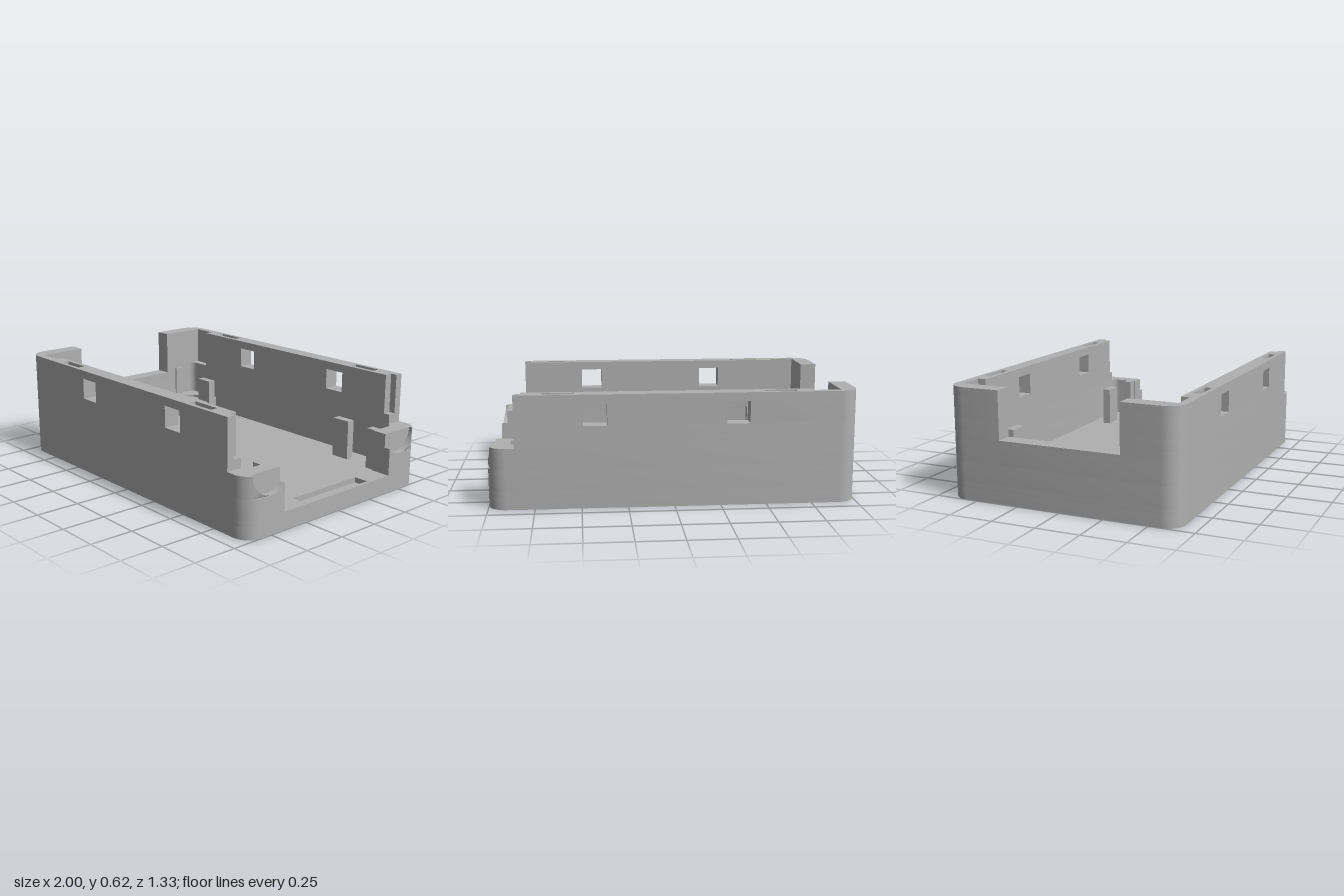
import * as THREE from 'three';
import { toCreasedNormals } from 'three/addons/utils/BufferGeometryUtils.js';

const R = 0.1, OZ = 0.667, IZ = 0.575, BACK = -0.905, FRONT = 0.88, END = 0.853;

// Points on an arc in the x/z plane, angles in degrees
function arc(cx, cz, r, a0, a1, n = 8) {
  return Array.from({ length: n + 1 }, (_, i) => {
    const a = THREE.MathUtils.degToRad(a0 + (a1 - a0) * i / n);
    return [cx + r * Math.cos(a), cz + r * Math.sin(a)];
  });
}
const rect = (x0, x1, z0, z1) => [[x0, z0], [x1, z0], [x1, z1], [x0, z1]];
const flip = pts => pts.map(([x, z]) => [x, -z]);
const hexagon = (x, z) => arc(x, z, 0.135, 30, 330, 5);
const circle = (x, z, r) => arc(x, z, r, 0, 352.5, 47);

// Outer edge x of the rounded end at a given z
function outerX(z) {
  const d = Math.max(0, z - (OZ - R));
  return 1 - R + Math.sqrt(R * R - d * d);
}

export function createModel() {
  const group = new THREE.Group();
  const grey = new THREE.MeshStandardMaterial({ color: 0xb0b0b0 });
  grey.name = 'grey plastic';

  function add(name, geometry) {
    const mesh = new THREE.Mesh(toCreasedNormals(geometry, 0.5), grey);
    mesh.name = name;
    group.add(mesh);
  }
  // Extrude an x/z outline, with holes, from y0 up to y1
  function slab(name, y0, y1, pts, holes = []) {
    const vec = p => p.map(([x, z]) => new THREE.Vector2(x, -z));
    const shape = new THREE.Shape(vec(pts));
    shape.holes = holes.map(h => new THREE.Path(vec(h)));
    const g = new THREE.ExtrudeGeometry(shape, { depth: y1 - y0, bevelEnabled: false });
    add(name, g.rotateX(-Math.PI / 2).translate(0, y0, 0));
  }

  const backCorner = arc(-1 + R, OZ - R, R, 180, 90);
  const frontCorner = a => arc(1 - R, OZ - R, R, 90, a);
  const innerBack = arc(BACK + 0.04, IZ - 0.04, 0.04, 90, 180, 5);
  const innerFront = arc(FRONT - 0.04, IZ - 0.04, 0.04, 0, 90, 5);
  const symmetric = half => [...half, ...flip(half).reverse()];

  // Floor with nut pockets and a shallow slot by the open end
  const A = [-0.77, -0.44], B = [0.70, 0.43];
  const half = [...backCorner, ...frontCorner(0)];
  const pockets = [hexagon(...A), hexagon(...B)];
  slab('floorBottom', 0, 0.07, symmetric(half), pockets);
  slab('floorTop', 0.07, 0.1, symmetric(half), [...pockets, rect(0.895, 0.98, -0.25, 0.24)]);

  // Lower walls: a tray open at the +x end, with a small tab beside the opening.
  // The half outline runs along the outside, then back along the inside.
  const inside = [
    [FRONT, 0.41], [FRONT, 0.42], [0.825, 0.42], [0.825, 0.467], [FRONT, 0.467],
    ...innerFront, ...innerBack,
  ];
  const ring = outer => {
    const h = [...outer, ...inside];
    return [...h.slice(0, outer.length), ...inside, ...flip(inside).reverse(), ...flip(outer).reverse()];
  };
  const recessAngle = THREE.MathUtils.radToDeg(Math.asin((0.62 - OZ + R) / R));
  const plain = [...backCorner, ...frontCorner(0), [1, 0.41]];
  const recessed = [...backCorner, ...frontCorner(recessAngle), [0.964, 0.62], [0.964, 0.41]];
  slab('lowerWall', 0.1, 0.215, ring(plain));
  slab('lowerWallRecessed', 0.215, 0.335, ring(recessed));

  // Curved fill below each round thumb recess, following the rounded corner
  for (const s of [1, -1]) {
    const pts = [new THREE.Vector2(s * 0.62, 0.215), new THREE.Vector2(s * 0.41, 0.215)];
    for (let i = 0; i <= 24; i++) {
      const z = 0.41 + 0.21 * Math.sin(i / 24 * Math.PI / 2);
      const y = 0.335 - Math.sqrt(Math.max(0, 0.0144 - (z - 0.5) ** 2));
      pts.push(new THREE.Vector2(s * z, Math.max(0.2151, y)));
    }
    const g = new THREE.ExtrudeGeometry(new THREE.Shape(pts), { depth: 0.036, bevelEnabled: false });
    g.rotateY(Math.PI / 2).scale(1, 1, 1).translate(0.964, 0, 0);
    const p = g.attributes.position;
    for (let i = 0; i < p.count; i++) {
      if (p.getX(i) > 0.98) p.setX(i, outerX(Math.abs(p.getZ(i))));
    }
    g.computeVertexNormals();
    add('thumbRecess', g);
  }

  // Wall band up to the sill of the rear opening
  const bandOut = [...backCorner, [END, OZ]];
  const bandIn = [[END, IZ], ...innerBack];
  slab('sillBand', 0.335, 0.35,
    [...bandOut, ...bandIn, ...flip(bandIn).reverse(), ...flip(bandOut).reverse()]);

  // Upper side walls with end returns, corner notches, windows and top slots
  const backPart = [[BACK, 0.348], [-1, 0.348], ...backCorner];
  const backNotch = [[-0.76, IZ], [-0.76, 0.622], [BACK, 0.622]];
  const frontNotch = [[END, OZ], [END, 0.622], [0.815, 0.622], [0.815, IZ]];
  for (const s of [1, -1]) {
    const side = pts => (s > 0 ? pts : flip(pts));
    const notched = side([...backPart, ...frontNotch, ...backNotch]);
    slab('upperWall', 0.35, 0.39, side([...backPart, [END, OZ], [END, IZ], ...innerBack]));
    slab('upperWall', 0.39, 0.45, notched);
    slab('windowRearPier', 0.45, 0.57, side([...backPart, [-0.405, OZ], [-0.405, IZ], ...backNotch]));
    slab('windowMiddlePier', 0.45, 0.57, side(rect(-0.28, 0.36, IZ, OZ)));
    slab('windowFrontPier', 0.45, 0.57, side([[0.487, IZ], [0.487, OZ], ...frontNotch]));
    slab('wallRim', 0.57, 0.618, notched,
      [side(rect(-0.66, -0.487, 0.601, 0.643)), side(rect(0.533, 0.703, 0.601, 0.643))]);

    // Board posts and rear ribs
    for (const x of [-0.637, 0.602]) {
      slab('boardPost', 0.1, 0.33, side(rect(x - 0.057, x + 0.057, 0.447, 0.495)));
    }
    slab('rearRib', 0.1, 0.37, side(rect(BACK - 0.005, -0.895, 0.418, 0.47)));
  }

  // Rear screw boss
  slab('rearBoss', 0.1, 0.14, circle(...A, 0.175), [hexagon(...A)]);
  slab('rearBossTop', 0.14, 0.185, circle(...A, 0.175), [circle(...A, 0.07)]);

  // Front screw boss, cut away at the connector opening so the pocket shows
  const bossArc = arc(...B, 0.175, -6.56, 304.85, 40).map(([x, z]) => [x, z]);
  const [h0, h1, h2, h3, h4, h5] = hexagon(...B);
  slab('frontBoss', 0.1, 0.14,
    [...bossArc, [0.8, 0.353], h4, h3, h2, h1, h0, [h5[0], 0.41]]);
  slab('frontBossTop', 0.14, 0.185, [...bossArc, [0.8, 0.41]], [circle(...B, 0.07)]);

  return group;
}
